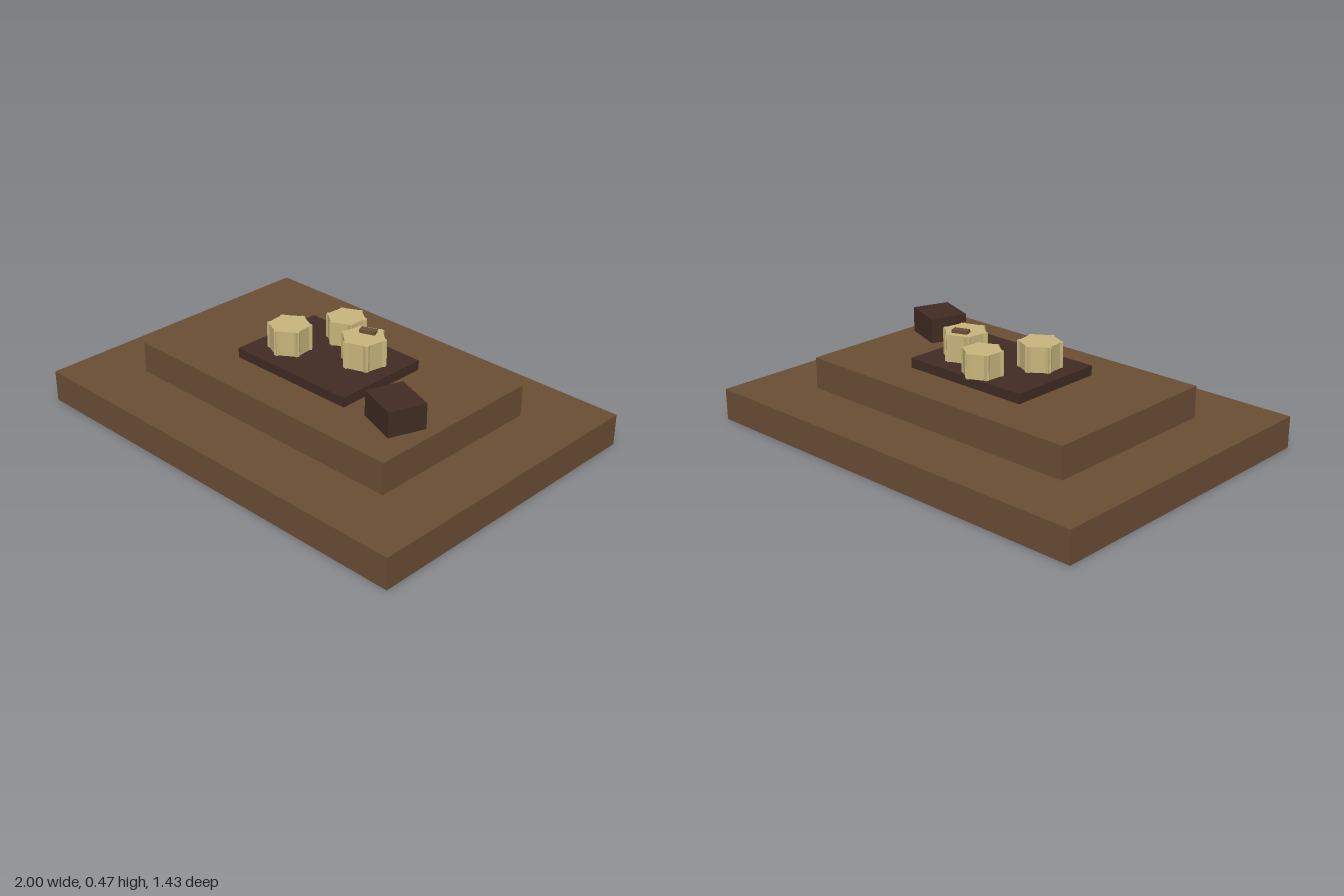
import * as THREE from 'three';

export function createModel() {
  const model = new THREE.Group();
  const mid = new THREE.MeshStandardMaterial({ name: 'mid brown wood', color: 0x6b4e34 });
  const dark = new THREE.MeshStandardMaterial({ name: 'dark brown wood', color: 0x412c23 });
  const cream = new THREE.MeshStandardMaterial({ name: 'pale cream', color: 0xc8b57c });

  // Box standing on height y0
  function box(name, w, h, d, x, y0, z, material, turn = 0) {
    const mesh = new THREE.Mesh(new THREE.BoxGeometry(w, h, d), material);
    mesh.name = name;
    mesh.position.set(x, y0 + h / 2, z);
    mesh.rotation.y = THREE.MathUtils.degToRad(turn);
    model.add(mesh);
  }

  // Outline of three equal bars crossing at 60 degrees: a hexagon with notched corners
  function crossedOutline(apothem, half) {
    const inner = 2 * apothem - Math.sqrt(3) * half;
    const side = [
      [half, inner, true], [half, apothem, true],
      [apothem * Math.tan(Math.PI / 6), apothem, false],
      [half, apothem, false], [half, inner, false],
    ];
    const points = [];
    for (let k = 0; k < 6; k++) {
      for (const [t, n, mirrored] of side) {
        const a = Math.atan2(t, n);
        const angle = (mirrored ? Math.PI / 3 - a : a) + k * Math.PI / 3;
        const r = Math.hypot(t, n);
        points.push(new THREE.Vector2(r * Math.sin(angle), r * Math.cos(angle)));
      }
    }
    return new THREE.Shape(points);
  }

  function chunk(name, x, z, apothem, height, turn) {
    const geometry = new THREE.ExtrudeGeometry(crossedOutline(apothem, apothem * 0.67),
      { depth: height, bevelEnabled: false });
    geometry.rotateX(-Math.PI / 2);
    const mesh = new THREE.Mesh(geometry, cream);
    mesh.name = name;
    mesh.position.set(x, 0.33, z);
    mesh.rotation.y = THREE.MathUtils.degToRad(turn);
    model.add(mesh);
  }

  // Stepped base and tray
  box('lowerStep', 2, 0.143, 1.428, 0, 0, 0, mid);
  box('upperStep', 1.428, 0.143, 0.856, 0, 0.143, 0, mid);
  box('tray', 0.628, 0.044, 0.457, 0, 0.286, 0, dark);

  // Turned block beside the tray
  box('sideBlock', 0.2, 0.115, 0.171, 0.54, 0.286, 0.168, dark, -20);

  // Pale pieces on the tray
  chunk('leftChunk', -0.16, 0.07, 0.081, 0.114, -24);
  chunk('backChunk', -0.045, -0.16, 0.076, 0.109, 26);
  chunk('rightChunk', 0.155, -0.057, 0.085, 0.121, 20);
  box('smallCap', 0.071, 0.014, 0.036, 0.145, 0.451, -0.094, mid, 20);

  return model;
}
